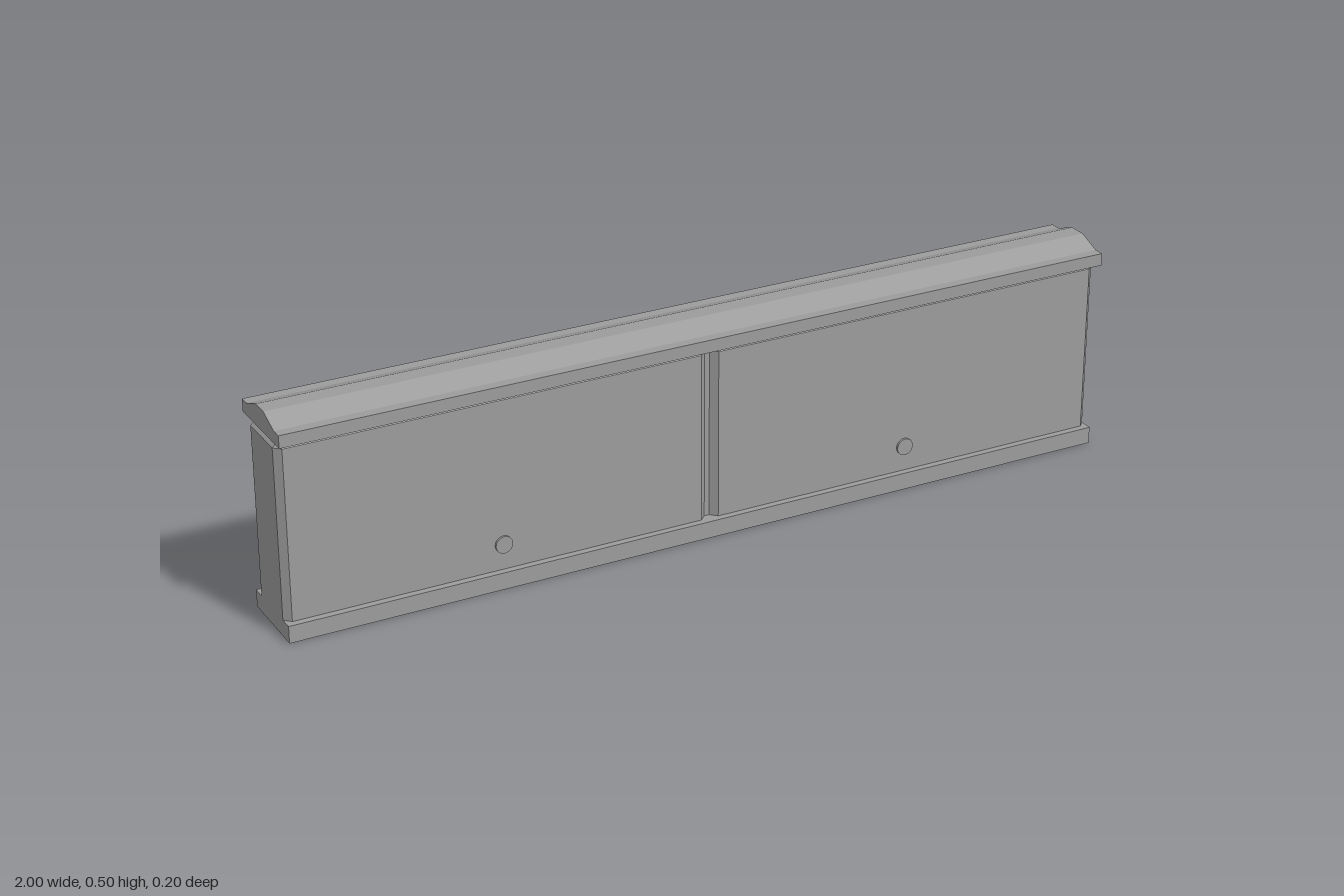
import * as THREE from 'three';
import { ConvexGeometry } from 'three/addons/geometries/ConvexGeometry.js';

const concrete = new THREE.MeshStandardMaterial({ color: 0x9c9c9c });
concrete.name = 'concrete grey';

const BASE_TOP = 0.04, PANEL_TOP = 0.452, BEVEL = 0.015;

function rect(path, x0, x1, y0, y1) {
  path.moveTo(x0, y0);
  path.lineTo(x1, y0);
  path.lineTo(x1, y1);
  path.lineTo(x0, y1);
  path.closePath();
  return path;
}

// Upright slab, bevelled on its vertical and top edges
function panelGeometry(width, depth) {
  const hx = width / 2, hz = depth / 2, points = [];
  for (const sx of [-1, 1]) for (const sz of [-1, 1]) {
    for (const y of [BASE_TOP, PANEL_TOP - BEVEL]) {
      points.push(new THREE.Vector3(sx * hx, y, sz * (hz - BEVEL)));
      points.push(new THREE.Vector3(sx * (hx - BEVEL), y, sz * hz));
    }
    points.push(new THREE.Vector3(sx * (hx - BEVEL), PANEL_TOP, sz * (hz - BEVEL)));
  }
  return new ConvexGeometry(points);
}

export function createModel() {
  const group = new THREE.Group();
  group.name = 'barrierWall';
  const add = (name, geometry, x = 0, y = 0, z = 0) => {
    const mesh = new THREE.Mesh(geometry, concrete);
    mesh.name = name;
    mesh.position.set(x, y, z);
    group.add(mesh);
    return mesh;
  };

  // Base: a thin slab over a rim with two recesses underneath
  const rimHeight = 0.03, wall = 0.012;
  add('baseSlab', new THREE.BoxGeometry(2, BASE_TOP - rimHeight, 0.182), 0, (BASE_TOP + rimHeight) / 2, 0);
  const rim = rect(new THREE.Shape(), -1, 1, -0.091, 0.091);
  for (const [x0, x1] of [[-1 + wall, -wall], [wall, 1 - wall]]) {
    rim.holes.push(rect(new THREE.Path(), x0, x1, -0.091 + wall, 0.091 - wall));
  }
  const rimGeometry = new THREE.ExtrudeGeometry(rim, { depth: rimHeight, bevelEnabled: false });
  add('baseRim', rimGeometry.rotateX(-Math.PI / 2));

  // Two bevelled panels with a narrow joint between them
  const gap = 0.006, panelWidth = 1 - gap;
  const panel = panelGeometry(panelWidth, 0.15);
  const disc = new THREE.CylinderGeometry(0.02, 0.02, 0.006, 32).rotateX(Math.PI / 2);
  for (const side of [-1, 1]) {
    const prefix = side > 0 ? 'left' : 'right';
    add(prefix + 'Panel', panel, side * (gap + panelWidth / 2));
    // Small round plugs on both faces
    for (const face of [-1, 1]) {
      add(prefix + (face > 0 ? 'FrontPlug' : 'BackPlug'), disc, side * 0.5, 0.1, face * 0.077);
    }
  }
  const jointHeight = PANEL_TOP - BEVEL - BASE_TOP;
  add('jointFill', new THREE.BoxGeometry(gap * 2, jointHeight, 0.12), 0, BASE_TOP + jointHeight / 2, 0);

  // Coping: flat lips with a sloped crown
  const half = [[0.1, 0.452], [0.1, 0.481], [0.075, 0.481], [0.021, 0.502]];
  const outline = [...half, ...half.map(([x, y]) => [-x, y]).reverse()];
  const profile = new THREE.Shape(outline.map(([x, y]) => new THREE.Vector2(x, y)));
  const coping = new THREE.ExtrudeGeometry(profile, { depth: 2, bevelEnabled: false });
  add('coping', coping.rotateY(Math.PI / 2), -1);

  return group;
}
